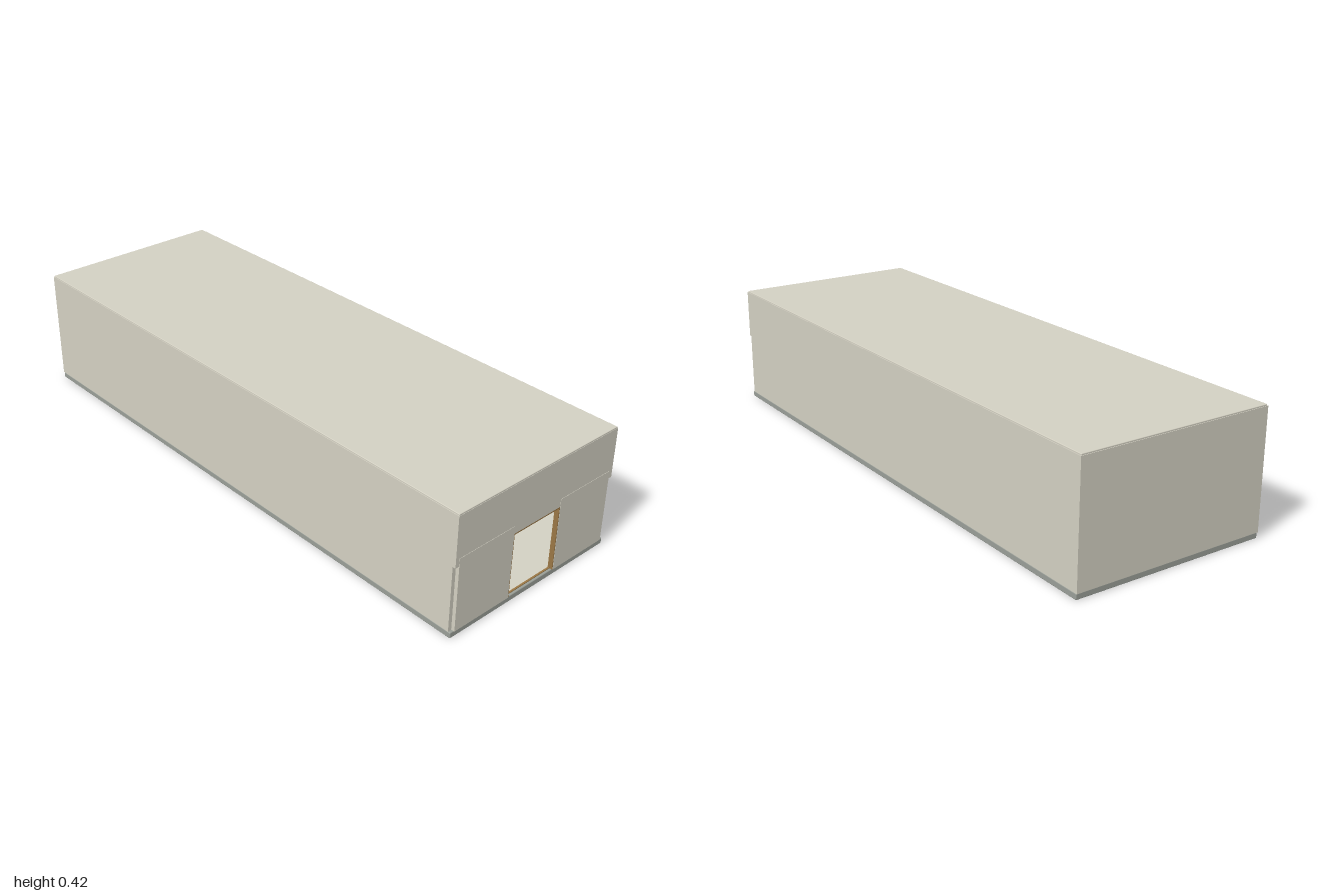
import * as THREE from 'three';
import { RoundedBoxGeometry } from 'three/addons/geometries/RoundedBoxGeometry.js';

const material = (name, color) => {
  const m = new THREE.MeshStandardMaterial({ color });
  m.name = name;
  return m;
};

export function createModel() {
  const plaster = material('warm plaster', 0xd3d0c2);
  const concrete = material('grey concrete', 0x9a9f98);
  const wood = material('brown wood', 0x9a7745);
  const metal = material('dark metal', 0x66645a);
  const model = new THREE.Group();
  model.name = 'longBuilding';

  // Box given by its limits on each axis
  const box = (name, mat, [x0, x1], [y0, y1], [z0, z1], parent = model, radius = 0) => {
    const size = [x1 - x0, y1 - y0, z1 - z0];
    const geometry = radius
      ? new RoundedBoxGeometry(...size, 2, radius)
      : new THREE.BoxGeometry(...size);
    const mesh = new THREE.Mesh(geometry, mat);
    mesh.name = name;
    mesh.position.set((x0 + x1) / 2, (y0 + y1) / 2, (z0 + z1) / 2);
    parent.add(mesh);
    return mesh;
  };

  const W = 0.338, wall = 0.013, doorX = 0.1, doorTop = 0.243;

  // Base, floor and roof
  box('baseSlab', concrete, [-W, W], [0, 0.02], [-0.997, 0.997], model, 0.003);
  box('interiorFloor', plaster, [-0.325, 0.325], [0.019, 0.022], [-0.985, 0.985]);
  box('roofDeck', plaster, [-W, W], [0.395, 0.413], [-1, 0.999]);
  box('roofCap', plaster, [-W + 0.002, W - 0.002], [0.411, 0.418], [-0.998, 0.998], model, 0.002);

  // Outer walls, with a shallow notch at the lower front corners
  box('backWall', plaster, [-W, W], [0.02, 0.4], [-1, -1 + wall]);
  box('frontHeader', plaster, [-W, W], [doorTop, 0.4], [0.985, 0.999]);
  for (const s of [-1, 1]) {
    const span = (a, b) => (s > 0 ? [a, b] : [-b, -a]);
    box('sideWall', plaster, span(W - wall, W), [0.02, 0.4], [-0.99, 0.989]);
    box('frontPanel', plaster, span(doorX, 0.324), [0.02, 0.27], [0.983, 1]);
    box('doorJamb', wood, span(doorX - 0.003, doorX), [0.02, doorTop], [0.983, 0.999]);
    // Beams, shelves and low bins on each side of the centre post
    for (const y of [0.06, 0.143, 0.223]) {
      box('shelfBoard', wood, span(0.005, 0.096), [y, y + 0.003], [0.55, 0.57]);
    }
    box('lowBin', concrete, span(0.006, 0.097), [0.028, 0.051], [0.4, 0.5]);
    box('thinUpright', metal, span(0.0525, 0.0535), [0.022, 0.235], [0.38, 0.381]);
  }

  // Doorway trim
  box('doorLintel', wood, [-doorX, doorX], [doorTop - 0.004, doorTop], [0.983, 0.999]);
  box('innerLintel', wood, [-doorX, doorX], [0.234, 0.236], [0.983, 0.988]);
  box('doorSill', wood, [-doorX, doorX], [0.019, 0.0225], [0.984, 0.99]);
  box('centrePost', metal, [-0.0015, 0.0015], [0.02, doorTop], [0.6, 0.603]);

  // Stack of pale drawers in a dark frame
  const stack = new THREE.Group();
  stack.name = 'drawerStack';
  model.add(stack);
  box('drawerCabinet', metal, [-0.094, -0.053], [0.022, 0.171], [0.78, 0.82], stack);
  for (let i = 0; i < 5; i++) {
    const y = 0.0255 + i * 0.0297;
    box('drawerFront', plaster, [-0.0905, -0.0565], [y, y + 0.0235], [0.815, 0.823], stack);
  }
  return model;
}
